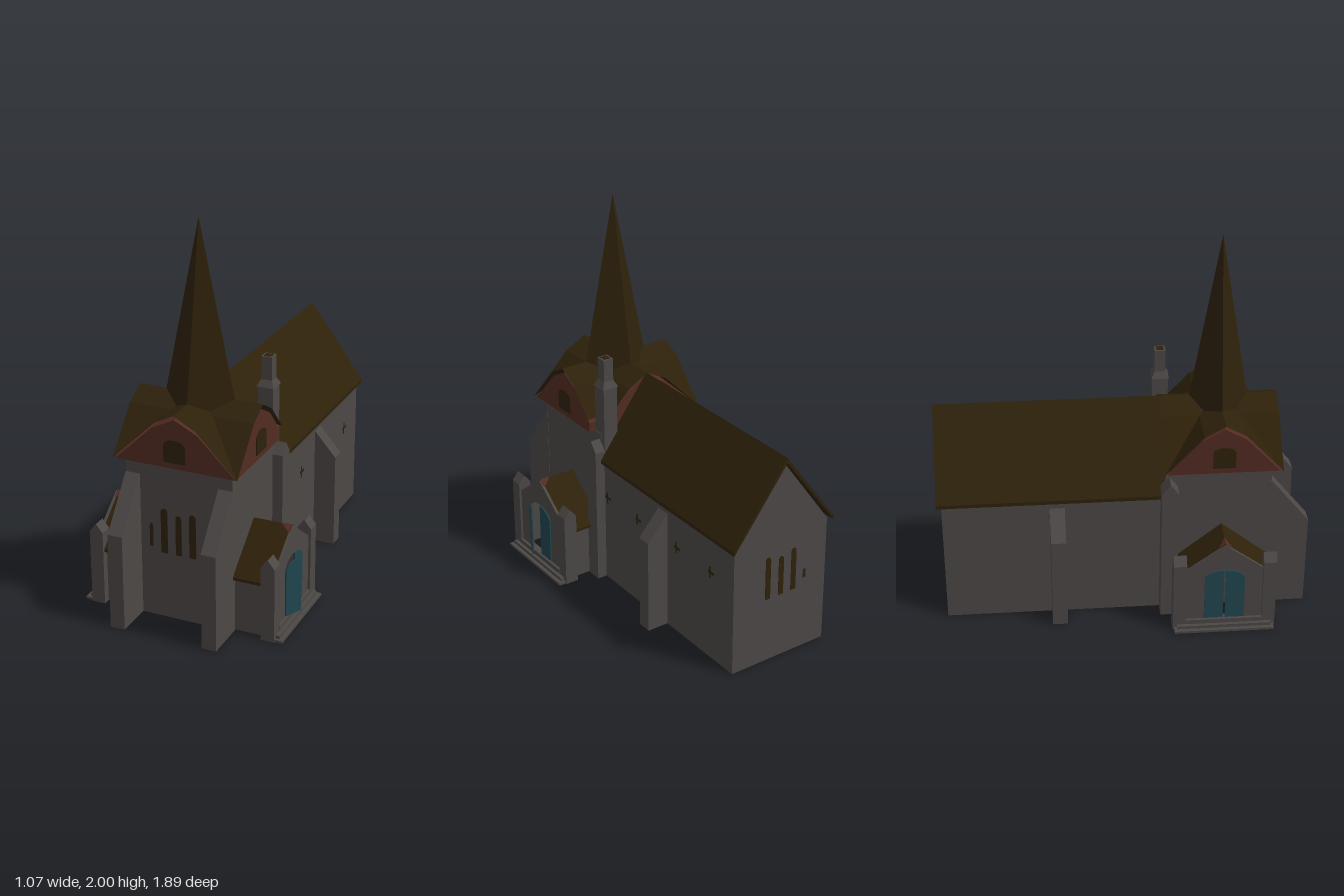
import * as THREE from 'three';

const mat = (name, color) => {
  const m = new THREE.MeshStandardMaterial({ color, side: THREE.DoubleSide });
  m.name = name;
  return m;
};

export function createModel() {
  const stone = mat('stone', 0x4b4745);
  const brown = mat('brown shingle', 0x2e210a);
  const red = mat('red boarding', 0x522b22);
  const teal = mat('teal door paint', 0x21454e);

  const church = new THREE.Group();
  church.name = 'church';

  const add = (parent, name, geo, material) => {
    const m = new THREE.Mesh(geo, material);
    m.name = name;
    parent.add(m);
    return m;
  };
  // box given by its limits
  const box = (parent, name, material, x0, x1, y0, y1, z0, z1) =>
    add(parent, name, new THREE.BoxGeometry(x1 - x0, y1 - y0, z1 - z0)
      .translate((x0 + x1) / 2, (y0 + y1) / 2, (z0 + z1) / 2), material);
  // outline in (x, y) extruded along z
  const prismZ = (parent, name, material, pts, z0, z1) => {
    const s = new THREE.Shape(pts.map(p => new THREE.Vector2(...p)));
    const g = new THREE.ExtrudeGeometry(s, { depth: z1 - z0, bevelEnabled: false }).translate(0, 0, z0);
    return add(parent, name, g, material);
  };
  // outline in (z, y), with an optional hole, extruded along x
  const prismX = (parent, name, material, pts, x0, x1, hole) => {
    const flip = ([z, y]) => new THREE.Vector2(-z, y);
    const s = new THREE.Shape(pts.map(flip));
    if (hole) s.holes.push(new THREE.Path(hole.map(flip)));
    const g = new THREE.ExtrudeGeometry(s, { depth: x1 - x0, bevelEnabled: false })
      .rotateY(Math.PI / 2).translate(x0, 0, 0);
    return add(parent, name, g, material);
  };
  // removes the faces whose normal passes the test, leaving an open shell
  const openUp = (mesh, test) => {
    const p = mesh.geometry.attributes.position, n = mesh.geometry.attributes.normal, pos = [];
    for (let i = 0; i < p.count; i += 3) {
      if (test(n.getX(i), n.getY(i), n.getZ(i))) continue;
      for (let k = i; k < i + 3; k++) pos.push(p.getX(k), p.getY(k), p.getZ(k));
    }
    mesh.geometry = new THREE.BufferGeometry();
    mesh.geometry.setAttribute('position', new THREE.Float32BufferAttribute(pos, 3));
    mesh.geometry.computeVertexNormals();
  };
  // house-shaped outline
  const gable = (half, eave, apex, base = 0, c = 0) =>
    [[c - half, base], [c + half, base], [c + half, eave], [c, apex], [c - half, eave]];
  // bent roof slab outline
  const chevron = (half, eave, apex, t) =>
    [[-half, eave], [0, apex], [half, eave], [half, eave - t], [0, apex - t * 1.4], [-half, eave - t]];
  // sloping flat polygons, always facing up
  const slopes = (parent, name, material, polys) => {
    const pos = [];
    for (const poly of polys) for (let i = 1; i < poly.length - 1; i++) {
      const a = poly[0], b = poly[i], c = poly[i + 1];
      const up = (b[2] - a[2]) * (c[0] - a[0]) - (b[0] - a[0]) * (c[2] - a[2]) > 0;
      pos.push(...a, ...(up ? b : c), ...(up ? c : b));
    }
    const g = new THREE.BufferGeometry();
    g.setAttribute('position', new THREE.Float32BufferAttribute(pos, 3));
    g.computeVertexNormals();
    return add(parent, name, g, material);
  };
  // arched outline, centred on u = c
  const arch = (half, y0, spring, top, c = 0) => {
    const pts = [[c - half, y0], [c + half, y0]];
    for (let i = 0; i <= 10; i++) {
      const a = Math.PI * i / 10;
      pts.push([c + half * Math.cos(a), spring + (top - spring) * Math.sin(a)]);
    }
    return pts;
  };

  // nave and tower walls, hollow and open below
  openUp(prismZ(church, 'naveWalls', stone, gable(0.283, 0.69, 1.08), -0.92, 0.24),
    (x, y, z) => y < -0.9 || z > 0.9);
  prismZ(church, 'naveRoof', brown, chevron(0.304, 0.705, 1.115, 0.02), -0.945, 0.21);
  openUp(prismZ(church, 'towerWalls', stone, [[-0.283, 0], [0.283, 0], [0.283, 0.84], [-0.283, 0.84]], 0.21, 0.75),
    (x, y, z) => y < -0.9 || z < -0.9);
  box(church, 'towerBackWall', stone, -0.283, 0.283, 0.66, 0.84, 0.21, 0.22);

  // boarded gables, notched at the back corner beside the chimney
  prismZ(church, 'frontGable', red,
    [[-0.318, 0.838], [0.318, 0.838], [0.12, 1.03], [0, 1.09], [-0.12, 1.03]], 0.267, 0.79);
  prismZ(church, 'backGable', red,
    [[-0.318, 0.838], [0.257, 0.838], [0.257, 0.895], [0.12, 1.03], [0, 1.09], [-0.12, 1.03]], 0.212, 0.267);
  prismX(church, 'rightGable', red,
    [[0.215, 0.838], [0.785, 0.838], [0.608, 1.03], [0.5, 1.09], [0.392, 1.03]], -0.318, 0);
  prismX(church, 'leftGable', red,
    [[0.267, 0.838], [0.785, 0.838], [0.608, 1.03], [0.5, 1.09], [0.392, 1.03], [0.267, 0.89]], 0, 0.318);

  // cross-gabled tower roof: shallow at the ridges, steeper below a break
  const W = 0.328, D = 0.3, B = 0.35, yB = 1.055, polys = [];
  for (const sx of [-1, 1]) for (const sz of [-1, 1]) {
    const at = (fx, y, fz) => [sx * W * fx, y, 0.5 + sz * D * fz];
    const top = at(0, 1.115, 0), mid = at(B, yB, B);
    polys.push([top, at(1, 1.115, 0), at(1, yB, B), mid], [top, at(0, 1.115, 1), at(B, yB, 1), mid]);
    const notched = sx > 0 && sz < 0, f = notched ? 0.783 : 1, y = notched ? 0.912 : 0.84;
    polys.push([mid, at(1, yB, B), at(1, y, f), at(f, y, f)], [mid, at(B, yB, 1), at(f, y, 1), at(f, y, f)]);
  }
  slopes(church, 'towerRoof', brown, polys);

  // four-sided spire with its edges on the ridges
  const spire = new THREE.ConeGeometry(1, 1, 4, 1, true).toNonIndexed();
  spire.scale(0.206, 1, 0.166).translate(0, 1.5, 0.5);
  spire.computeVertexNormals();
  add(church, 'spire', spire, brown);

  // gable windows
  prismZ(church, 'frontGableWindow', brown, arch(0.057, 0.868, 0.955, 0.987), 0.79, 0.794);
  for (const s of [-1, 1])
    prismX(church, 'sideGableWindow', brown, arch(0.057, 0.868, 0.955, 0.987, 0.5), s * 0.32 - 0.002, s * 0.32 + 0.002);

  // narrow windows: x, half width, bottom, top
  const slits = (name, z, list) => {
    for (const [x, h, y0, y1] of list)
      prismZ(church, name, brown, arch(h, y0, y1 - 0.02, y1, x), z, z + 0.003);
  };
  slits('towerWindow', 0.75, [[-0.151, 0.009, 0.38, 0.505], [-0.081, 0.018, 0.355, 0.595],
    [-0.004, 0.016, 0.355, 0.57], [0.071, 0.018, 0.355, 0.59], [0.144, 0.008, 0.355, 0.425]]);
  slits('backWindow', -0.923, [[0.076, 0.015, 0.355, 0.59], [-0.004, 0.015, 0.355, 0.57],
    [-0.081, 0.015, 0.355, 0.59], [-0.151, 0.008, 0.4, 0.45]]);

  // small cross-shaped nave windows
  for (const z of [0.155, -0.12, -0.46, -0.74]) {
    box(church, 'naveWindow', brown, 0.28, 0.284, 0.455, 0.52, z + 0.002, z + 0.014);
    box(church, 'naveWindowBar', brown, 0.28, 0.2838, 0.48, 0.495, z - 0.025, z + 0.025);
  }

  for (const s of [-1, 1]) {
    const span = (a, b) => s > 0 ? [a, b] : [-b, -a];
    // sloped front buttresses
    prismX(church, 'frontButtress', stone,
      [[0.74, 0], [0.95, 0], [0.95, 0.505], [0.75, 0.757], [0.74, 0.757]], ...span(0.208, 0.285));
    // pointed pilaster between tower and nave
    prismX(church, 'pilaster', stone, gable(0.043, 0.75, 0.807, 0, 0.228), ...span(0.27, s > 0 ? 0.337 : 0.363));
    // nave buttress
    prismZ(church, 'naveButtress', stone,
      [[0.27, 0], [0.4, 0], [0.4, 0.51], [0.283, 0.645], [0.27, 0.645]].map(([x, y]) => [s * x, y]),
      -0.377, -0.3);
  }

  // chimney
  const cx = 0.24, cz = 0.226;
  box(church, 'chimneyBase', stone, cx - 0.04, cx + 0.04, 0.65, 1.1, cz - 0.041, cz + 0.041);
  const collar = new THREE.CylinderGeometry(0.028 * Math.SQRT2, 0.046 * Math.SQRT2, 0.035, 4)
    .toNonIndexed().rotateY(Math.PI / 4).translate(cx, 1.117, cz);
  collar.computeVertexNormals();
  add(church, 'chimneyCollar', collar, stone);
  box(church, 'chimneyStack', stone, cx - 0.028, cx + 0.028, 1.13, 1.255, cz - 0.028, cz + 0.028);
  box(church, 'chimneyOpening', brown, cx - 0.019, cx + 0.019, 1.252, 1.257, cz - 0.019, cz + 0.019);

  // one door leaf, hinged at u = 0
  const leaf = [[0, 0.06], [0.098, 0.06]];
  for (let i = 6; i >= 0; i--) {
    const a = Math.PI / 2 * i / 6;
    leaf.push([0.098 * (1 - Math.cos(a)), 0.3 + 0.055 * Math.sin(a)]);
    if (i === 6) leaf[2][0] = 0.098;
  }

  // side porches, local x pointing outwards
  for (const side of [1, -1]) {
    const porch = new THREE.Group();
    porch.name = side > 0 ? 'leftPorch' : 'rightPorch';
    porch.position.set(0.008, 0, 0.5);
    porch.rotation.y = side > 0 ? 0 : Math.PI;
    church.add(porch);
    openUp(prismX(porch, 'porchWalls', stone, [[-0.225, 0], [0.225, 0], [0.225, 0.295], [-0.225, 0.295]], 0.27, 0.473),
      (x, y) => Math.abs(y) > 0.9 || Math.abs(x) > 0.9);
    prismX(porch, 'porchRoof', brown, chevron(0.252, 0.302, 0.508, 0.015), 0.27, 0.479);
    prismX(porch, 'porchFront', stone, gable(0.195, 0.36, 0.506), 0.472, 0.486, arch(0.103, 0.056, 0.3, 0.357));
    for (const s of [-1, 1]) {
      // corner piers with ridged tops
      const z = s * 0.23;
      prismZ(porch, 'porchPier', stone, gable(0.036, 0.395, 0.44, 0, 0.462), z - 0.034, z + 0.034);
      slopes(porch, 'redFlashing', red,
        [[[0.42, 0.511, 0], [0.478, 0.511, 0], [0.478, 0.48, s * 0.038]]]);
    }
    // steps
    box(porch, 'lowerStep', stone, 0.46, 0.537, 0, 0.013, -0.257, 0.257);
    box(porch, 'middleStep', stone, 0.46, 0.517, 0.013, 0.03, -0.243, 0.243);
    box(porch, 'upperStep', stone, 0.46, 0.5, 0.03, 0.055, -0.196, 0.196);
    // two door leaves, one ajar on the left porch
    for (const s of [-1, 1]) {
      const m = prismZ(porch, 'doorLeaf', teal, leaf, -0.004, 0.004);
      m.position.set(0.489, 0, s * 0.103);
      m.rotation.y = s * Math.PI / 2 - (side > 0 && s > 0 ? 0.45 : 0);
    }
  }

  church.position.x = -0.01;
  const model = new THREE.Group();
  model.name = 'churchModel';
  model.add(church);
  return model;
}
